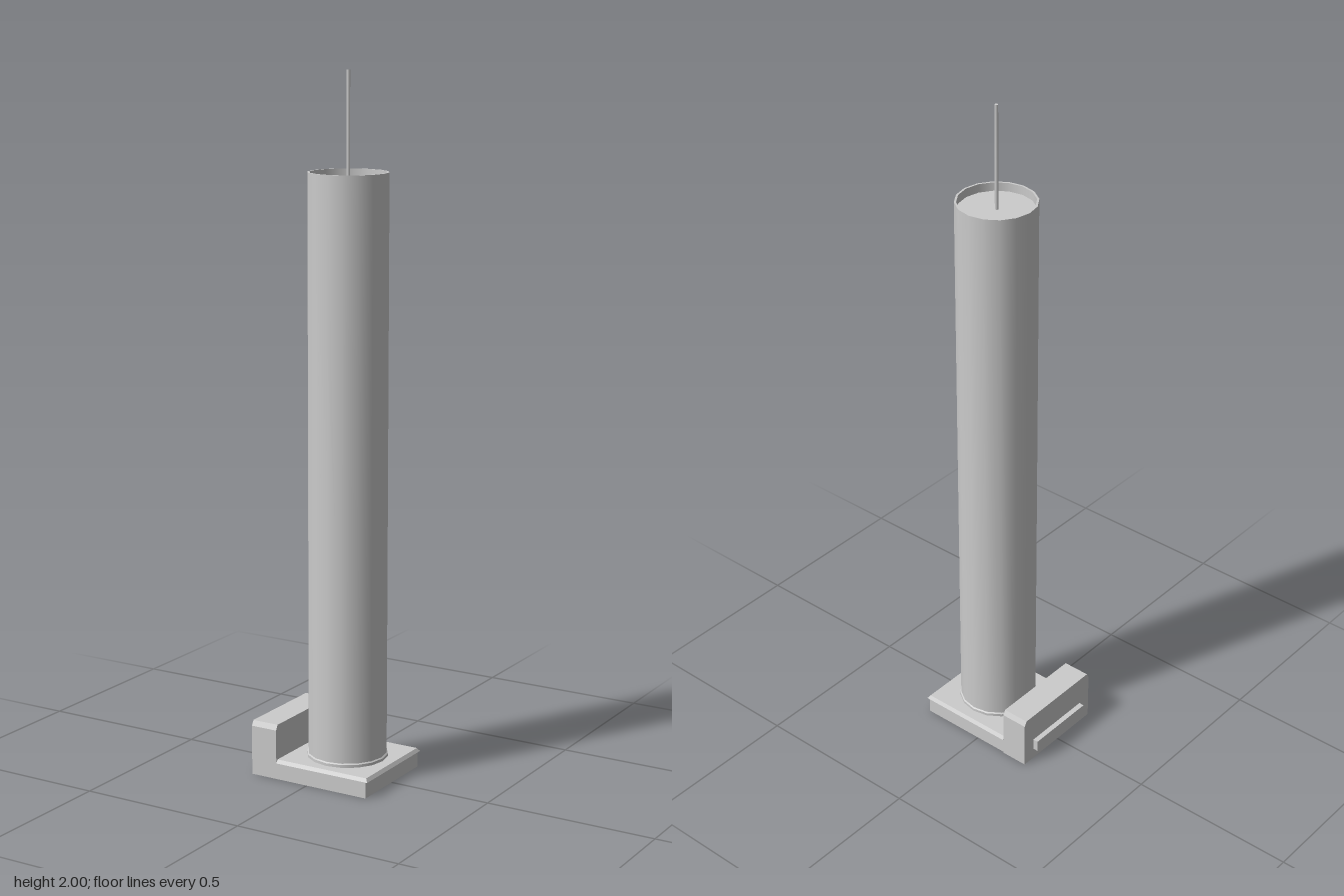
import * as THREE from 'three';
import { mergeGeometries } from 'three/addons/utils/BufferGeometryUtils.js';

const SIDES = 16;
const AXIS_X = 0.047;
const material = new THREE.MeshStandardMaterial({ color: 0xcccccc });

function part(name, geometry, x = 0, y = 0, z = 0) {
  const mesh = new THREE.Mesh(geometry, material);
  mesh.name = name;
  mesh.position.set(x, y, z);
  return mesh;
}

// Box given by its limits on each axis
function box(name, x0, x1, y0, y1, z0, z1) {
  return part(name, new THREE.BoxGeometry(x1 - x0, y1 - y0, z1 - z0),
    (x0 + x1) / 2, (y0 + y1) / 2, (z0 + z1) / 2);
}

// Lathe with a hard edge at every profile point and smooth sides
function hardLathe(profile) {
  const rings = [];
  for (let i = 0; i < profile.length - 1; i++) {
    const pair = [profile[i], profile[i + 1]].map(([r, y]) => new THREE.Vector2(r, y));
    rings.push(new THREE.LatheGeometry(pair, SIDES));
  }
  return mergeGeometries(rings);
}

// Outline drawn in z (across) and y (up), extruded along x from x0 to x1
function extrudeAlongX(name, points, x0, x1) {
  const shape = new THREE.Shape(points.map(([z, y]) => new THREE.Vector2(-z, y)));
  const geometry = new THREE.ExtrudeGeometry(shape, { depth: x1 - x0, bevelEnabled: false });
  geometry.rotateY(Math.PI / 2);
  return part(name, geometry, x0);
}

export function createModel() {
  const model = new THREE.Group();
  model.name = 'columnOnBase';

  // Base: three walls around a hollow, open underneath
  const base = new THREE.Group();
  base.name = 'base';
  base.add(
    box('frontWall', -0.105, 0.193, 0, 0.051, 0.132, 0.147),
    box('backWall', -0.105, 0.193, 0, 0.051, -0.15, -0.135),
    box('sideWall', 0.178, 0.193, 0, 0.051, -0.135, 0.132));

  // Top plate with a sloping edge on its three free sides
  const plate = new THREE.BoxGeometry(0.3, 0.01, 0.303);
  const pos = plate.attributes.position;
  for (let i = 0; i < pos.count; i++) {
    if (pos.getY(i) < 0) continue;
    if (pos.getX(i) > 0) pos.setX(i, pos.getX(i) - 0.007);
    pos.setZ(i, pos.getZ(i) - Math.sign(pos.getZ(i)) * 0.007);
  }
  const flatPlate = plate.toNonIndexed();
  flatPlate.computeVertexNormals();
  base.add(part('topPlate', flatPlate, 0.05, 0.053, -0.0015));
  model.add(base);

  // Raised block along one side, its upper ends chamfered
  model.add(extrudeAlongX('sideBlock',
    [[-0.153, 0], [0.147, 0], [0.147, 0.145], [0.139, 0.16], [-0.145, 0.16], [-0.153, 0.145]],
    -0.184, -0.102));
  model.add(box('sidePanel', -0.2, -0.18, 0.035, 0.07, -0.113, 0.105));

  // Column: thin-rimmed tube closed by recessed discs
  model.add(part('column', hardLathe([
    [0, 0.045], [0.107, 0.045], [0.107, 0.005], [0.113, 0.005],
    [0.113, 1.725], [0.107, 1.725], [0.107, 1.7], [0, 1.7],
  ]), AXIS_X));

  // Collar where the column meets the plate
  model.add(part('collar', hardLathe([
    [0.112, 0.055], [0.1165, 0.055], [0.1165, 0.066], [0.112, 0.07],
  ]), AXIS_X));

  // Thin rod on the column's axis
  model.add(part('rod', new THREE.CylinderGeometry(0.005, 0.005, 0.3, 8), AXIS_X, 1.85, 0));

  return model;
}
